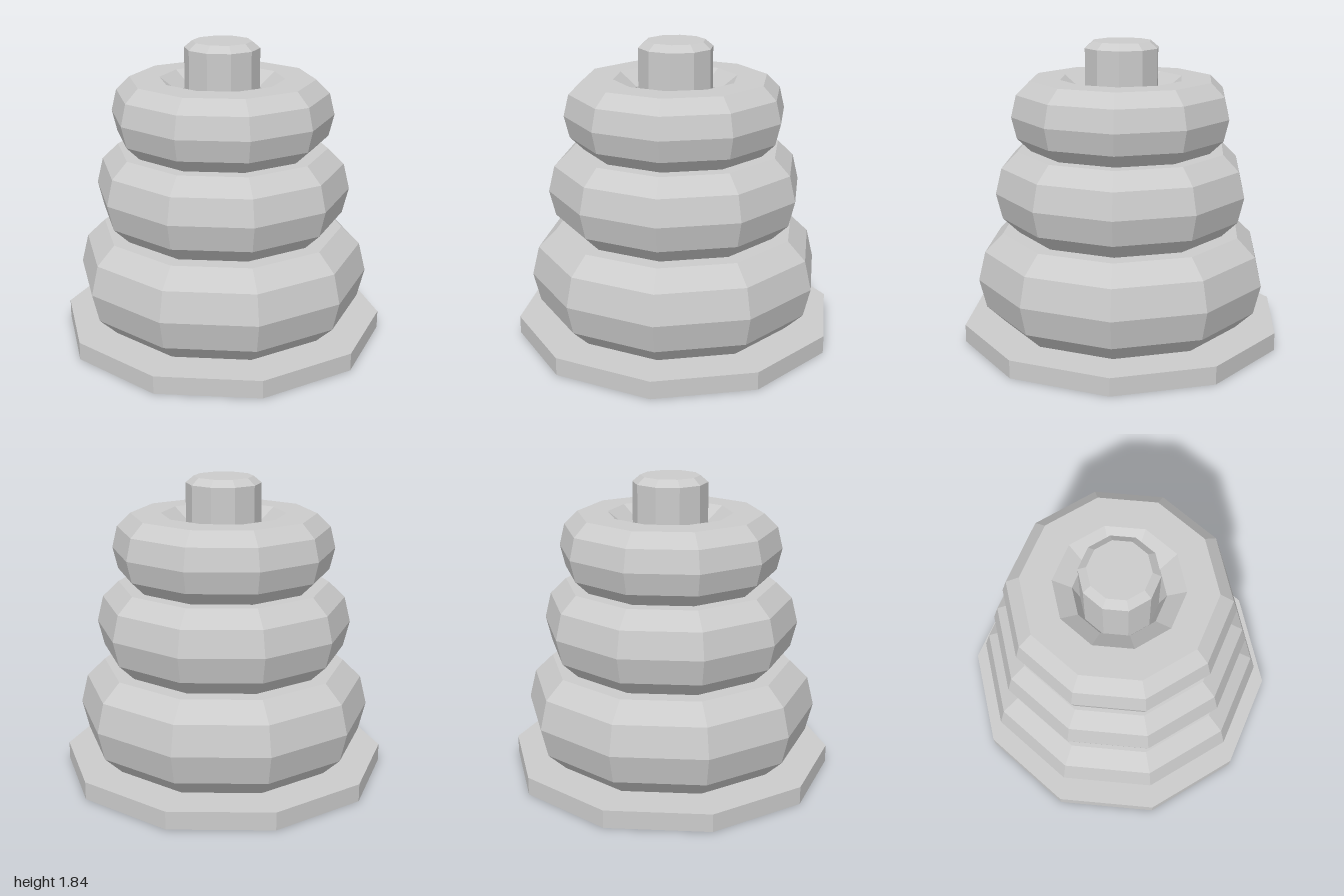
import * as THREE from 'three';

const SIDES = 10;
const material = new THREE.MeshStandardMaterial({
  color: 0xcccccc, flatShading: true, side: THREE.DoubleSide,
});

// Ten-sided shell turned from [radius, height] pairs, with a corner on +x
function turned(name, profile) {
  const points = profile.map(([r, y]) => new THREE.Vector2(r, y));
  const mesh = new THREE.Mesh(new THREE.LatheGeometry(points, SIDES, Math.PI / 2), material);
  mesh.name = name;
  return mesh;
}

// Outer half of a faceted ring, from its bottom edge to its top edge
function ringProfile(radius, bottom, top) {
  const mid = (bottom + top) / 2, h = (top - bottom) / 2;
  const tube = h / Math.sin(Math.PI * 0.4);
  const core = radius - tube * 0.745;
  return [-2, -1, 0, 1, 2].map((i) => {
    const a = (i * Math.PI) / 5;
    return [core + tube * 0.745 * Math.cos(a), mid + tube * Math.sin(a)];
  });
}

export function createModel() {
  const model = new THREE.Group();
  model.name = 'stackingRings';

  // Base plate, open underneath
  model.add(turned('base', [[1, 0], [1, 0.11], [0.69, 0.11]]));

  // Lower and middle rings, each with a shelf running in to the ring above
  const lower = ringProfile(0.905, 0.11, 0.685);
  const middle = ringProfile(0.785, 0.685, 1.19);
  const upper = ringProfile(0.68, 1.19, 1.615);
  model.add(turned('lowerRing', [...lower, middle[0]]));
  model.add(turned('middleRing', [...middle, upper[0]]));

  // Top ring, curving back down into its hole
  model.add(turned('upperRing', [...upper, [0.38, 1.615], [0.27, 1.53], [0.228, 1.4]]));

  // Post with a bevelled top
  model.add(turned('post', [[0.228, 1.4], [0.228, 1.8], [0.18, 1.84], [0, 1.84]]));

  return model;
}
